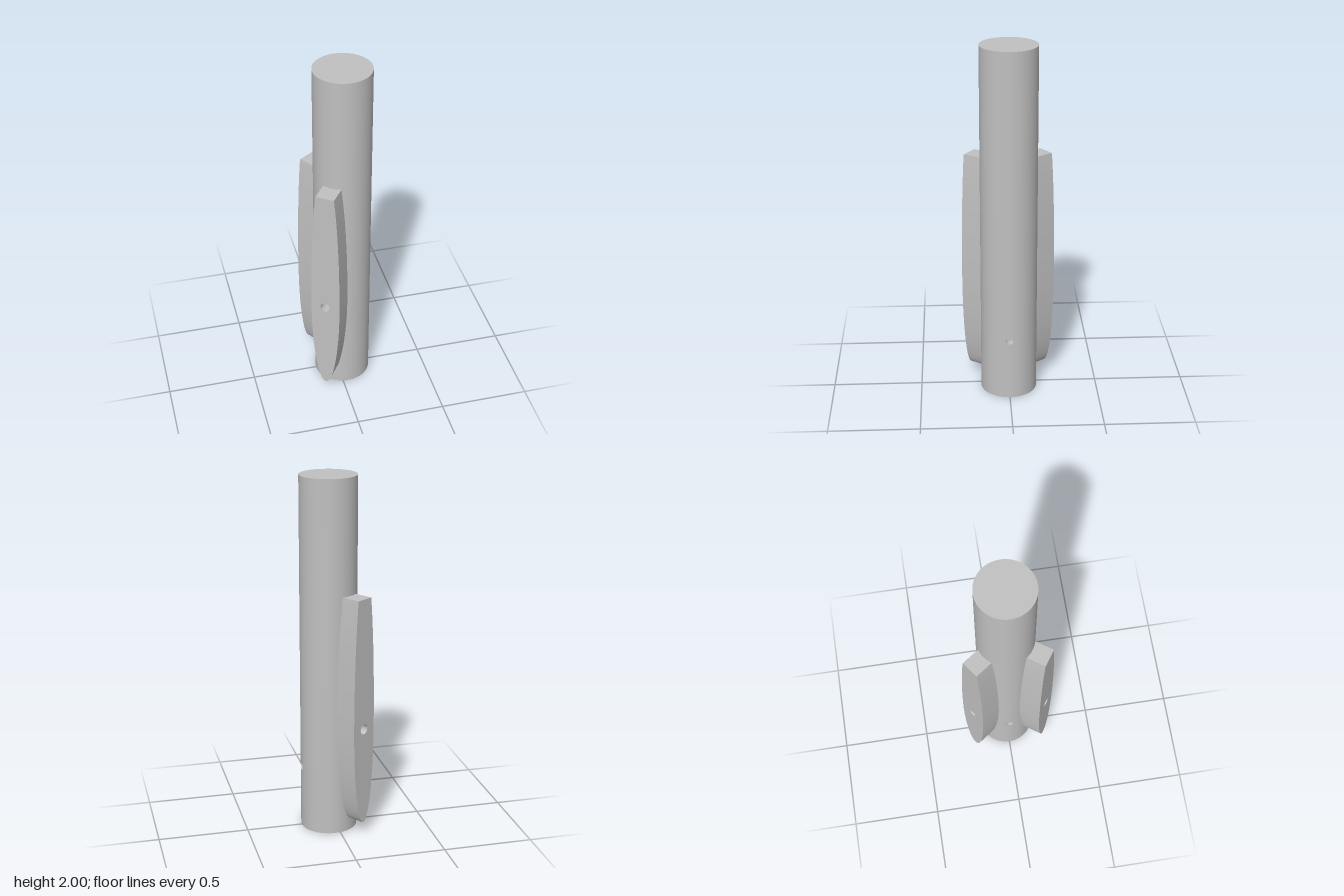
import * as THREE from 'three';

const R = 0.157, BORE = 0.116, HEIGHT = 2, BORE_TOP = 1.9;
const SEG = 64, PIN_Y = 0.36, PIN_R = 0.024;
const PATCH_A = Math.PI / 8, PATCH_H = 0.06; // half angle and half height of the wall around a pin hole

// Grid surface from fn(i, j) -> { p, n }
function gridSurface(cols, rows, fn) {
  const pos = [], nor = [], idx = [];
  for (let j = 0; j <= rows; j++) {
    for (let i = 0; i <= cols; i++) {
      const { p, n } = fn(i, j);
      pos.push(...p);
      nor.push(...n);
      if (i < cols && j < rows) {
        const a = j * (cols + 1) + i, b = a + 1, c = a + cols + 1, d = c + 1;
        idx.push(a, c, b, b, c, d);
      }
    }
  }
  const g = new THREE.BufferGeometry();
  g.setAttribute('position', new THREE.Float32BufferAttribute(pos, 3));
  g.setAttribute('normal', new THREE.Float32BufferAttribute(nor, 3));
  g.setIndex(idx);
  return g;
}

// Curved wall patch facing +x, from a round hole out to a rectangle
function holePatch(radius) {
  return gridSurface(64, 4, (i, j) => {
    const t = -(i / 64) * Math.PI * 2, c = Math.cos(t), s = Math.sin(t);
    const k = 1 / Math.max(Math.abs(c), Math.abs(s)), f = j / 4;
    const a = THREE.MathUtils.lerp(Math.asin(PIN_R * c / radius), PATCH_A * c * k, f);
    const y = PIN_Y + THREE.MathUtils.lerp(PIN_R * s, PATCH_H * s * k, f);
    return { p: [radius * Math.cos(a), y, radius * Math.sin(a)], n: [Math.cos(a), 0, Math.sin(a)] };
  });
}

// Side of a pin hole, running through the tube wall
function pinHoleWall() {
  return gridSurface(64, 1, (i, j) => {
    const t = (i / 64) * Math.PI * 2, z = PIN_R * Math.cos(t), dy = PIN_R * Math.sin(t);
    const r = j ? BORE : R;
    return { p: [Math.sqrt(r * r - z * z), PIN_Y + dy, z], n: [0, Math.sin(t), Math.cos(t)] };
  });
}

export function createModel() {
  const model = new THREE.Group();
  const metal = new THREE.MeshStandardMaterial({ color: 0xc0c0c0, side: THREE.DoubleSide });
  metal.name = 'plain grey';

  const add = (parent, name, geometry) => {
    const mesh = new THREE.Mesh(geometry, metal);
    mesh.name = name;
    parent.add(mesh);
    return mesh;
  };

  // Tube: full bands below and above the pin holes, arcs and patches between
  const tube = new THREE.Group();
  tube.name = 'tube';
  tube.position.x = 0.03;
  model.add(tube);
  for (const [name, radius, top] of [['outerWall', R, HEIGHT], ['bore', BORE, BORE_TOP]]) {
    const low = PIN_Y - PATCH_H, high = PIN_Y + PATCH_H;
    for (const [y0, y1] of [[0, low], [high, top]]) {
      add(tube, name, new THREE.CylinderGeometry(radius, radius, y1 - y0, SEG, 1, true)).position.y = (y0 + y1) / 2;
    }
    for (const turn of [0, Math.PI]) {
      const arc = new THREE.CylinderGeometry(radius, radius, high - low, 24, 1, true,
        Math.PI / 2 + PATCH_A + turn, Math.PI - 2 * PATCH_A);
      add(tube, name, arc).position.y = PIN_Y;
      add(tube, name, holePatch(radius)).rotation.y = turn;
    }
  }
  for (const turn of [0, Math.PI]) add(tube, 'pinHole', pinHoleWall()).rotation.y = turn;

  // Closed top, end of the bore, and open bottom rim
  const cap = add(tube, 'topCap', new THREE.CircleGeometry(R, SEG));
  cap.rotation.x = -Math.PI / 2;
  cap.position.y = HEIGHT;
  const boreEnd = add(tube, 'boreEnd', new THREE.CircleGeometry(BORE, SEG));
  boreEnd.rotation.x = Math.PI / 2;
  boreEnd.position.y = BORE_TOP;
  add(tube, 'bottomRim', new THREE.RingGeometry(BORE, R, SEG)).rotation.x = Math.PI / 2;

  // Fins: long rounded blades cut flat at the top, each with a round hole in its outer face
  const cy = 0.64, half = 0.083, cut = Math.acos(0.62);
  const blade = new THREE.Shape();
  blade.absellipse(0, cy, half, 0.925, Math.PI - cut, Math.PI, false);
  blade.absellipse(0, cy, half, 0.565, Math.PI, Math.PI * 2, false);
  blade.absellipse(0, cy, half, 0.925, 0, cut, false);
  blade.closePath();
  const hole = new THREE.Path();
  hole.absarc(0, 0.63, 0.028, 0, Math.PI * 2, true);
  blade.holes.push(hole);
  const finGeometry = new THREE.ExtrudeGeometry(blade, { depth: 0.137, bevelEnabled: false, curveSegments: 24 });
  finGeometry.translate(0, 0, 0.12);
  for (const [name, degrees] of [['frontFin', -35], ['backFin', -145]]) {
    const fin = add(model, name, finGeometry);
    fin.position.x = 0.03;
    fin.rotation.y = THREE.MathUtils.degToRad(degrees);
  }
  return model;
}
